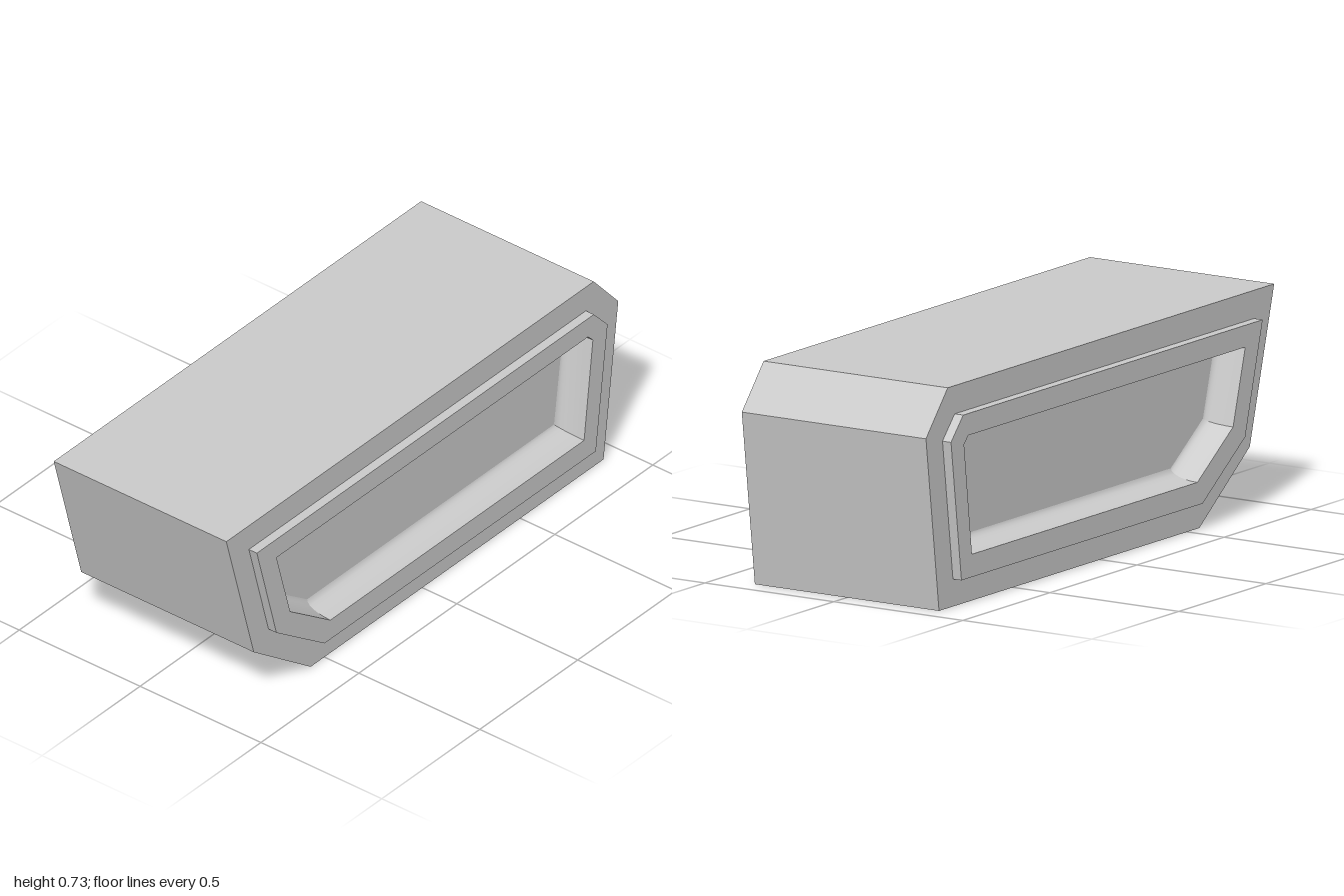
import * as THREE from 'three';

// Six-cornered side outlines as [z, y], counter-clockwise seen from +x
const BODY = [[1, 0.725], [0.86, 0.215], [0.57, 0], [-0.925, 0], [-1, 0.58], [-0.875, 0.725]];
const RIM = [[0.885, 0.632], [0.785, 0.265], [0.54, 0.09], [-0.845, 0.09], [-0.905, 0.555], [-0.835, 0.632]];
const OPENING = [[0.785, 0.56], [0.715, 0.31], [0.51, 0.165], [-0.785, 0.165], [-0.83, 0.535], [-0.805, 0.56]];
const FLOOR = [[0.745, 0.525], [0.69, 0.33], [0.505, 0.2], [-0.755, 0.2], [-0.797, 0.51], [-0.785, 0.525]];

const BODY_X = 0.357, RIM_X = 0.39, FLOOR_X = 0.29;

const ring = (outline, x) => outline.map(([z, y]) => [x, y, z]);
const blend = (a, b, t) => a.map((p, i) => p.map((v, k) => v + (b[i][k] - v) * t));

// Skin a run of rings: smooth along the run, sharp between the six sides.
// side = -1 mirrors the result in x.
function skin(rings, side = 1, cap = false) {
  const pos = [], idx = [];
  const add = (p) => pos.push(p[0] * side, p[1], p[2]) / 3 - 1;
  const tri = (a, b, c) => idx.push(...(side > 0 ? [a, b, c] : [a, c, b]));
  const n = rings[0].length;
  for (let i = 0; i < n; i++) {
    const rows = rings.map((r) => [add(r[i]), add(r[(i + 1) % n])]);
    for (let k = 0; k + 1 < rows.length; k++) {
      const [a, b] = rows[k], [d, c] = rows[k + 1];
      tri(a, b, c);
      tri(a, c, d);
    }
  }
  if (cap) {
    const last = rings[rings.length - 1].map(add);
    for (let i = 1; i + 1 < n; i++) tri(last[0], last[i], last[i + 1]);
  }
  const geo = new THREE.BufferGeometry();
  geo.setAttribute('position', new THREE.Float32BufferAttribute(pos, 3));
  geo.setIndex(idx);
  geo.computeVertexNormals();
  return geo;
}

export function createModel() {
  const group = new THREE.Group();
  const material = new THREE.MeshStandardMaterial({ color: 0xcccccc });
  const part = (name, geo, parent = group) => {
    const mesh = new THREE.Mesh(geo, material);
    mesh.name = name;
    parent.add(mesh);
  };

  // Outer band running across the full width
  part('bodyShell', skin([ring(BODY, -BODY_X), ring(BODY, BODY_X)]));

  for (const side of [1, -1]) {
    const panel = new THREE.Group();
    panel.name = side > 0 ? 'leftPanel' : 'rightPanel';
    group.add(panel);

    // Flat side wall around the raised rim
    part('sideWall', skin([ring(BODY, BODY_X), ring(RIM, BODY_X)], side), panel);

    // Raised rim: outer edge and flat face
    part('rimEdge', skin([ring(RIM, BODY_X), ring(RIM, RIM_X)], side), panel);
    part('rimFace', skin([ring(RIM, RIM_X), ring(OPENING, RIM_X)], side), panel);

    // Hollow cove curving down to the recessed floor
    const cove = [];
    for (let k = 0; k <= 6; k++) {
      const a = (k / 6) * Math.PI / 2;
      const x = RIM_X + (FLOOR_X - RIM_X) * Math.sin(a);
      cove.push(ring(blend(OPENING, FLOOR, 1 - Math.cos(a)), x));
    }
    part('recessCove', skin(cove, side), panel);

    // Recessed floor
    const floor = ring(FLOOR, FLOOR_X);
    part('recessFloor', skin([floor], side, true), panel);
  }
  return group;
}
